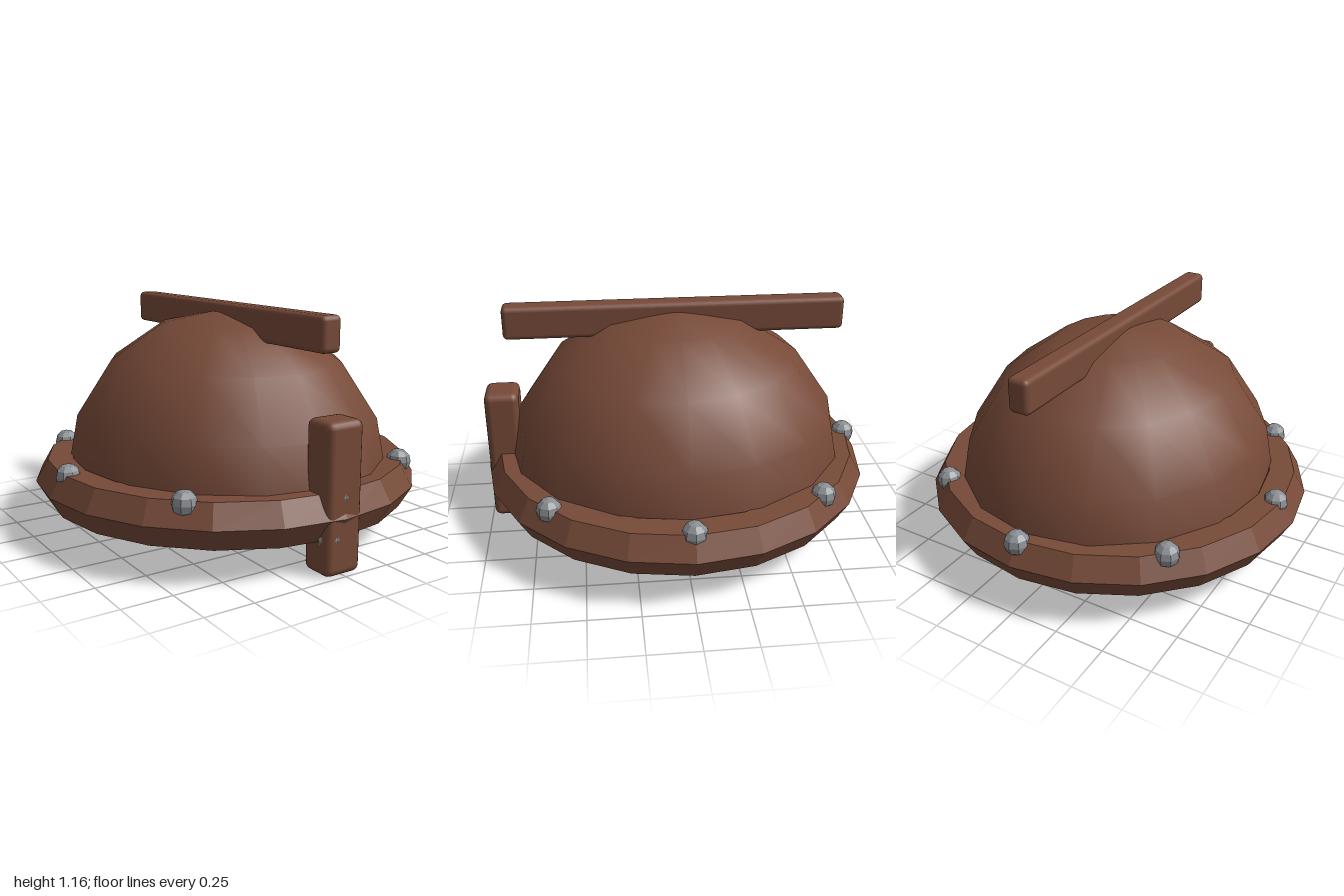
import * as THREE from 'three';
import { RoundedBoxGeometry } from 'three/addons/geometries/RoundedBoxGeometry.js';

export function createModel() {
  const model = new THREE.Group();
  model.name = 'helmet';

  const leather = new THREE.MeshStandardMaterial({ name: 'brown leather', color: 0x774a38 });
  const faceted = leather;
  const iron = new THREE.MeshStandardMaterial({ name: 'grey iron', color: 0x8a8e92 });

  const add = (name, geometry, material, x = 0, y = 0, z = 0) => {
    const mesh = new THREE.Mesh(geometry, material);
    mesh.name = name;
    mesh.position.set(x, y, z);
    model.add(mesh);
    return mesh;
  };
  // Facets baked into the normals, so that the colour can be shared with smooth parts
  const facet = (geometry) => {
    const flat = geometry.toNonIndexed();
    flat.computeVertexNormals();
    return flat;
  };

  // Dome: a smooth half ellipsoid, closed underneath
  const rx = 0.83, ry = 0.873, rz = 0.9, baseY = 0.257;
  const domeGeometry = new THREE.SphereGeometry(1, 16, 4, 0, Math.PI * 2, 0, Math.PI / 2);
  domeGeometry.scale(rx, ry, rz);
  add('dome', domeGeometry, leather, 0, baseY, 0);
  const base = new THREE.CircleGeometry(1, 16);
  base.rotateX(Math.PI / 2);
  base.scale(rx, 1, rz);
  add('domeBase', base, leather, 0, baseY, 0);

  // Rim: a ring with a six-sided section
  const rim = new THREE.TorusGeometry(0.873, 0.127, 6, 20);
  rim.rotateX(Math.PI / 2);
  add('rim', facet(rim), faceted, 0, 0.275, 0);

  // Crest bar and nose guard
  add('crest', new RoundedBoxGeometry(0.11, 0.17, 1.73, 2, 0.025), leather, 0, 1.083, 0);
  add('noseGuard', new RoundedBoxGeometry(0.2, 0.715, 0.175, 2, 0.035), leather, 0, 0.3605, 0.9);

  // Rivets around the rim
  const rivet = facet(new THREE.SphereGeometry(0.063, 8, 6));
  for (let i = 0; i < 8; i++) {
    const a = (i * Math.PI) / 4;
    add('rimRivet', rivet, iron, 0.9 * Math.sin(a), 0.37, 0.93 * Math.cos(a));
  }

  // Nose guard rivets, sunk until only their tips show
  add('noseRivetRight', rivet, iron, -0.045, 0.18, 0.93);
  add('noseRivetLeft', rivet, iron, 0.042, 0.18, 0.92);

  return model;
}
